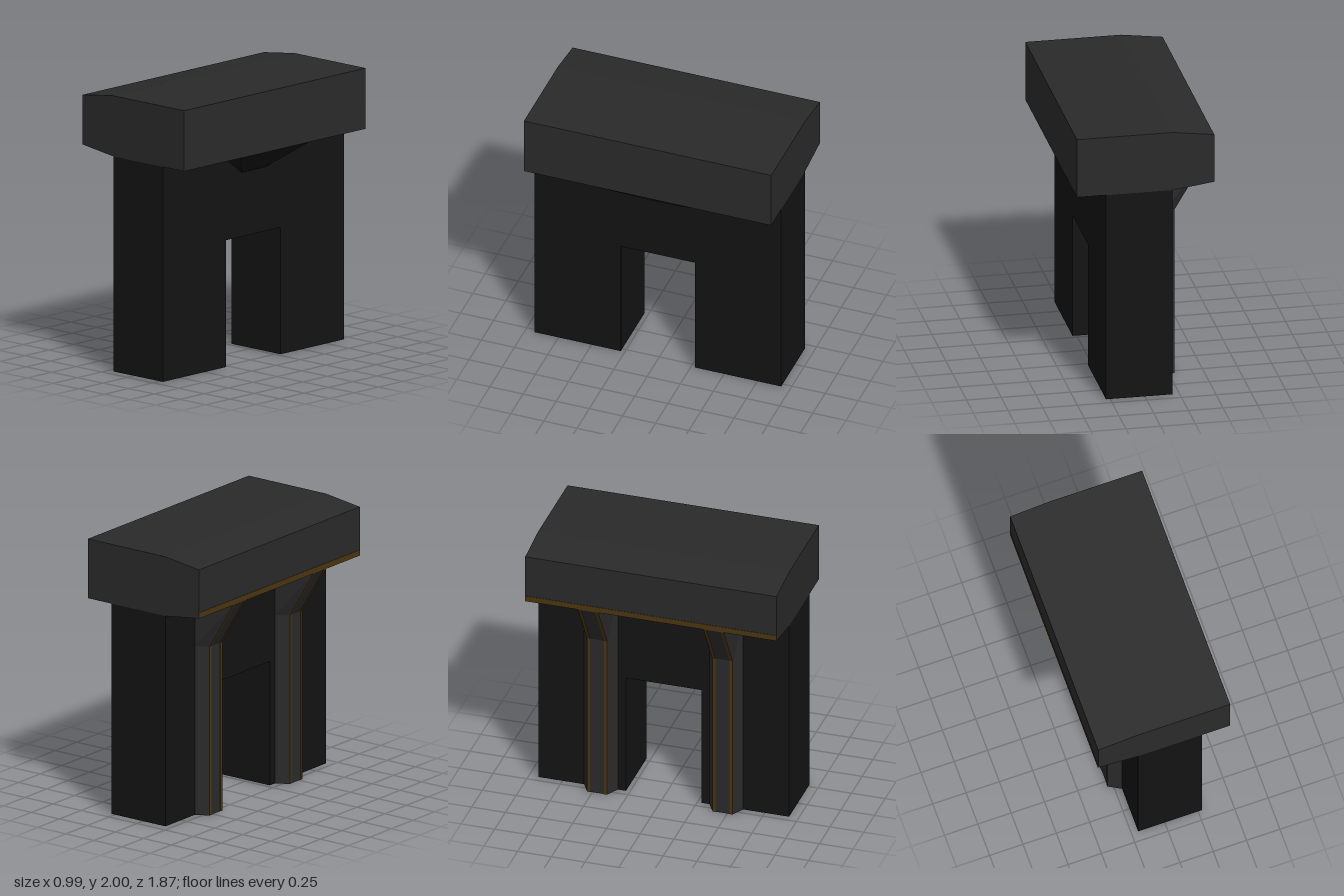
import * as THREE from 'three';
import { ConvexGeometry } from 'three/addons/geometries/ConvexGeometry.js';

const mat = (color) => new THREE.MeshStandardMaterial({ color, flatShading: true });

// Closed solid through equal-length rings of [x, y, z], counterclockwise from above
function loft(rings) {
  const pos = [], n = rings[0].length;
  const tri = (a, b, c) => pos.push(...a, ...b, ...c);
  for (let r = 0; r < rings.length - 1; r++) {
    for (let i = 0; i < n; i++) {
      const j = (i + 1) % n, lo = rings[r], hi = rings[r + 1];
      tri(lo[i], lo[j], hi[j]);
      tri(lo[i], hi[j], hi[i]);
    }
  }
  const bottom = rings[0], top = rings[rings.length - 1];
  for (let i = 1; i < n - 1; i++) {
    tri(bottom[0], bottom[i + 1], bottom[i]);
    tri(top[0], top[i], top[i + 1]);
  }
  const g = new THREE.BufferGeometry();
  g.setAttribute('position', new THREE.Float32BufferAttribute(pos, 3));
  g.computeVertexNormals();
  return g;
}

// Upright rib on the -x wall that flares out under the slab
function rib(side, back0, front0, front1, back1, proud) {
  const ring = (y, x, yOut = y) => {
    const pts = [[-0.2, y, side * back0], [x - proud, yOut, side * front0],
      [x - proud, yOut, side * front1], [-0.2, y, side * back1]];
    return side > 0 ? pts : pts.reverse();
  };
  return loft([ring(0, -0.29), ring(1.25, -0.29), ring(1.56, -0.5, 1.6)]);
}

export function createModel() {
  const group = new THREE.Group();
  const dark = mat(0x131313), grey = mat(0x2a2a2a), gold = mat(0x4a3510);
  const add = (name, geometry, material) => {
    const mesh = new THREE.Mesh(geometry, material);
    mesh.name = name;
    group.add(mesh);
    return mesh;
  };
  const shapeOf = (pts) => new THREE.Shape(pts.map(([x, y]) => new THREE.Vector2(x, y)));

  // Two legs joined by a wall over the opening
  const portal = new THREE.ExtrudeGeometry(shapeOf([
    [-0.93, 0], [-0.28, 0], [-0.28, 0.92], [0.28, 0.92],
    [0.28, 0], [0.93, 0], [0.93, 1.56], [-0.93, 1.56],
  ]), { depth: 0.48, bevelEnabled: false });
  portal.rotateY(Math.PI / 2).translate(-0.2, 0, 0);
  add('portalLegs', portal, dark);

  // Heavy top slab, bent along one side
  const slab = new THREE.ExtrudeGeometry(shapeOf([
    [-0.5, 1.6], [-0.2, 1.56], [0.49, 1.56], [0.49, 2], [-0.2, 2], [-0.5, 1.96],
  ]), { depth: 1.865, bevelEnabled: false });
  slab.translate(0, 0, -0.9325);
  add('topSlab', slab, grey);

  // Trim along the lower edge of the slab
  add('slabTrim', new THREE.BoxGeometry(0.006, 0.042, 1.865), gold).position.set(-0.5, 1.621, 0);

  // Tapered corbel on the +x side
  const corbel = [];
  for (const s of [-1, 1]) {
    corbel.push(new THREE.Vector3(0.28, 1.385, s * 0.12),
      new THREE.Vector3(0.28, 1.56, s * 0.35), new THREE.Vector3(0.49, 1.56, s * 0.35));
  }
  add('corbel', new ConvexGeometry(corbel), dark);

  // Mirrored ribs with trim strips on both front edges
  for (const s of [-1, 1]) {
    const label = s > 0 ? 'front' : 'back';
    add(label + 'Rib', rib(s, 0.34, 0.39, 0.54, 0.59, 0), grey);
    for (const z of [0.39, 0.518]) {
      add(label + 'RibTrim', rib(s, z, z, z + 0.022, z + 0.022, 0.003), gold);
    }
  }
  return group;
}
